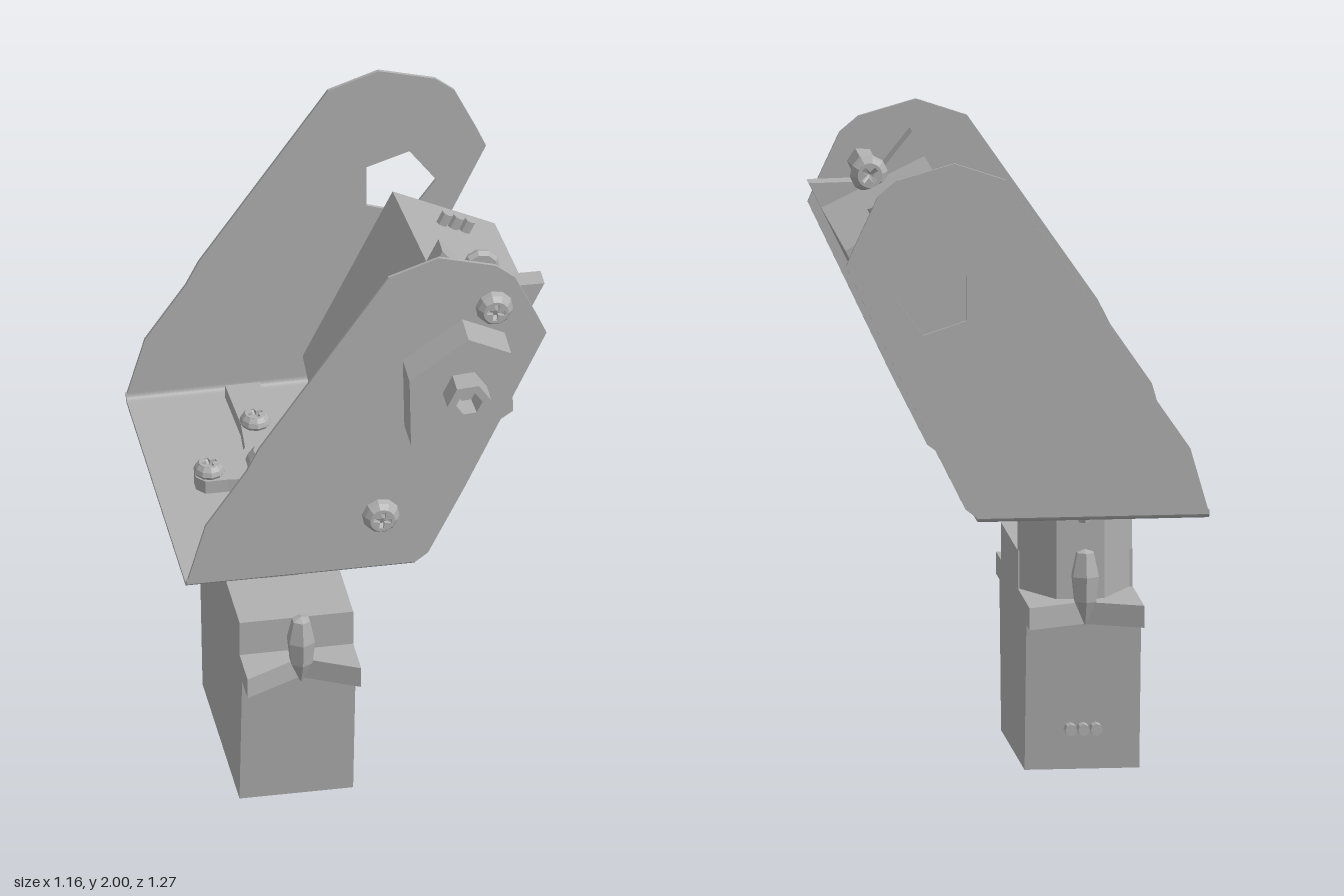
import * as THREE from 'three';

const grey = new THREE.MeshStandardMaterial({ color: 0xb0b0b0 });
grey.name = 'grey';

// faceted normals
function flat(geo) {
  const g = geo.index ? geo.toNonIndexed() : geo;
  g.computeVertexNormals();
  return g;
}

function add(parent, name, geo, x = 0, y = 0, z = 0) {
  const m = new THREE.Mesh(flat(geo), grey);
  m.name = name;
  m.position.set(x, y, z);
  parent.add(m);
  return m;
}

const shapeOf = pts => new THREE.Shape(pts.map(p => new THREE.Vector2(p[0], p[1])));
const extrude = (shape, depth) =>
  new THREE.ExtrudeGeometry(shape, { depth, bevelEnabled: false, curveSegments: 10 });
const lathe = (pts, n) => new THREE.LatheGeometry(pts.map(p => new THREE.Vector2(p[0], p[1])), n);

// upright prism from an [x, z] outline
function prism(pts, y0, y1) {
  return extrude(shapeOf(pts.map(([x, z]) => [x, -z])), y1 - y0).rotateX(-Math.PI / 2).translate(0, y0, 0);
}

// domed screw head with a cross recess, facing +y
function screwHead(parent, name, r, h, x, y, z) {
  const g = new THREE.Group();
  g.name = name;
  g.position.set(x, y, z);
  parent.add(g);
  add(g, 'screwDome', lathe([[0, 0], [r * 0.85, 0], [r, h * 0.3], [r * 0.9, h * 0.65], [r * 0.65, h], [0, h * 0.45]], 10));
  const cap = new THREE.Shape();
  cap.absarc(0, 0, r * 0.65, 0, Math.PI * 2);
  const a = r * 0.12, b = r * 0.48;
  cap.holes.push(new THREE.Path([[a, a], [a, b], [-a, b], [-a, a], [-b, a], [-b, -a],
    [-a, -a], [-a, -b], [a, -b], [a, -a], [b, -a], [b, a]].map(p => new THREE.Vector2(p[0], p[1]))));
  const top = extrude(cap, h * 0.4).rotateX(-Math.PI / 2).rotateY(0.3);
  add(g, 'screwCross', top, 0, h * 0.6, 0);
  return g;
}

// servo with its output shaft along +y through the origin
function servo(name) {
  const g = new THREE.Group();
  g.name = name;
  // case, widening towards the flange
  const body = new THREE.BoxGeometry(0.36, 0.47, 0.65).translate(0, 0.235, 0.153);
  const p = body.attributes.position;
  for (let i = 0; i < p.count; i++) {
    if (p.getY(i) > 0.4) p.setZ(i, p.getZ(i) + (p.getZ(i) > 0 ? 0.045 : -0.05));
  }
  add(g, 'servoCase', body);
  // mounting flange with notched ends
  add(g, 'mountFlange', prism([[-0.18, -0.31], [0, -0.225], [0.18, -0.31],
    [0.18, 0.62], [0, 0.53], [-0.18, 0.62]], 0.47, 0.54));
  add(g, 'servoLid', new THREE.BoxGeometry(0.36, 0.12, 0.47), 0, 0.6, 0.245);
  add(g, 'gearHousing', prism([[-0.18, 0.03], [-0.07, -0.172], [0.08, -0.172],
    [0.18, 0.02], [0.05, 0.247], [-0.07, 0.245]], 0.54, 0.79));
  // hollow output shaft
  add(g, 'outputShaft', lathe([[0.07, 0.78], [0.07, 0.87], [0.042, 0.87], [0.03, 0.81], [0, 0.81]], 6));
  // spacers at both ends
  for (const z of [-0.26, 0.56]) {
    add(g, 'spacer', lathe([[0, 0.47], [0.038, 0.55], [0.047, 0.63], [0.03, 0.705], [0, 0.715]], 6), 0, 0, z);
  }
  // cable leads
  for (const x of [-0.04, 0, 0.04]) {
    add(g, 'cableLead', new THREE.CylinderGeometry(0.019, 0.019, 0.06, 8).rotateX(Math.PI / 2), x, 0.133, -0.2);
  }
  return g;
}

export function createModel() {
  const root = new THREE.Group();
  root.name = 'panTiltBracket';
  const px = -0.22, pz = -0.105;

  // lower servo
  const pan = servo('panServo');
  pan.position.set(px, 0, pz);
  root.add(pan);
  add(pan, 'hornHub', new THREE.CylinderGeometry(0.1, 0.1, 0.07, 8), 0, 0.825, 0);

  // upper servo, lying forward and leaning with the bracket
  const tilt = servo('tiltServo');
  const s = Math.sin(0.454), c = Math.cos(0.454);
  tilt.quaternion.setFromRotationMatrix(new THREE.Matrix4().makeBasis(
    new THREE.Vector3(c, -s, 0), new THREE.Vector3(0, 0, 1), new THREE.Vector3(-s, -c, 0)));
  tilt.position.set(0.28, 1.577, -0.23);
  root.add(tilt);
  for (const z of [-0.255, 0.565]) {
    screwHead(tilt, 'plateScrew', 0.06, 0.05, 0, 0.672, z);
    screwHead(tilt, 'flangeScrew', 0.06, 0.05, 0, 0.47, z).rotation.x = Math.PI;
  }

  // bracket floor with bent-up edges, profile swept along x
  const t = 0.01, zf = 0.442, zb = -0.632, y0 = 0.855, r = 0.03;
  const u = new THREE.Shape();
  u.moveTo(-zf, y0 + r);
  u.quadraticCurveTo(-zf, y0, -zf + r, y0);
  u.lineTo(-zb - r, y0);
  u.quadraticCurveTo(-zb, y0, -zb, y0 + r);
  u.lineTo(-zb - t, y0 + r);
  u.quadraticCurveTo(-zb - t, y0 + t, -zb - r, y0 + t);
  u.lineTo(-zf + r, y0 + t);
  u.quadraticCurveTo(-zf + t, y0 + t, -zf + t, y0 + r);
  add(root, 'bracketFloor', extrude(u, 0.725).rotateY(Math.PI / 2), -0.58, 0, 0);

  // leaning side plates; the rear one has a pivot hole
  const outline = [[-0.58, 0.87], [0.145, 0.87], [0.185, 0.9], [0.3, 1.13], [0.56, 1.68], [0.53, 1.75], [0.46, 1.9],
    [0.4, 1.95], [0.22, 2], [0.06, 1.945], [-0.35, 1.35], [-0.39, 1.27], [-0.52, 1.08]];
  const rear = shapeOf(outline);
  const hole = [];
  for (let i = 0; i < 5; i++) {
    const a = -i * Math.PI * 0.4;
    hole.push(new THREE.Vector2(0.28 + 0.122 * Math.cos(a), 1.572 + 0.122 * Math.sin(a)));
  }
  rear.holes.push(new THREE.Path(hole));
  add(root, 'frontPlate', extrude(shapeOf(outline), t), 0, 0, zf - t);
  add(root, 'rearPlate', extrude(rear, t), 0, 0, zb);

  // cross-shaped horn on the floor
  const q = [[0.09, -0.055], [0.14, -0.05], [0.21, -0.05], [0.235, -0.02], [0.235, 0.02], [0.21, 0.05], [0.14, 0.05], [0.09, 0.055],
    [0.055, 0.12], [0.045, 0.25], [0.055, 0.47], [0.03, 0.52], [-0.03, 0.52], [-0.055, 0.47], [-0.045, 0.25], [-0.055, 0.12]];
  const cross = [...q.slice(0, 12), ...q.slice(12)];
  cross.push(...q.slice(0, 8).map(([x, z]) => [-x, -z]), ...q.slice(8).map(([x, z]) => [-x, z < 0.5 ? -z : -z + 0.05]));
  add(root, 'servoHorn', prism(cross, y0 + t, 0.91), px, 0, pz);
  screwHead(root, 'centreScrew', 0.075, 0.06, px, 0.912, pz);
  for (const [x, z] of [[-0.19, 0], [0.19, 0], [0, -0.245], [0, 0.305]]) {
    screwHead(root, 'hornScrew', 0.05, 0.042, px + x, 0.908, pz + z);
    add(root, 'hornScrewTip', new THREE.CylinderGeometry(0.03, 0.02, 0.07, 6), px + x, 0.833, pz + z);
  }
  return root;
}
